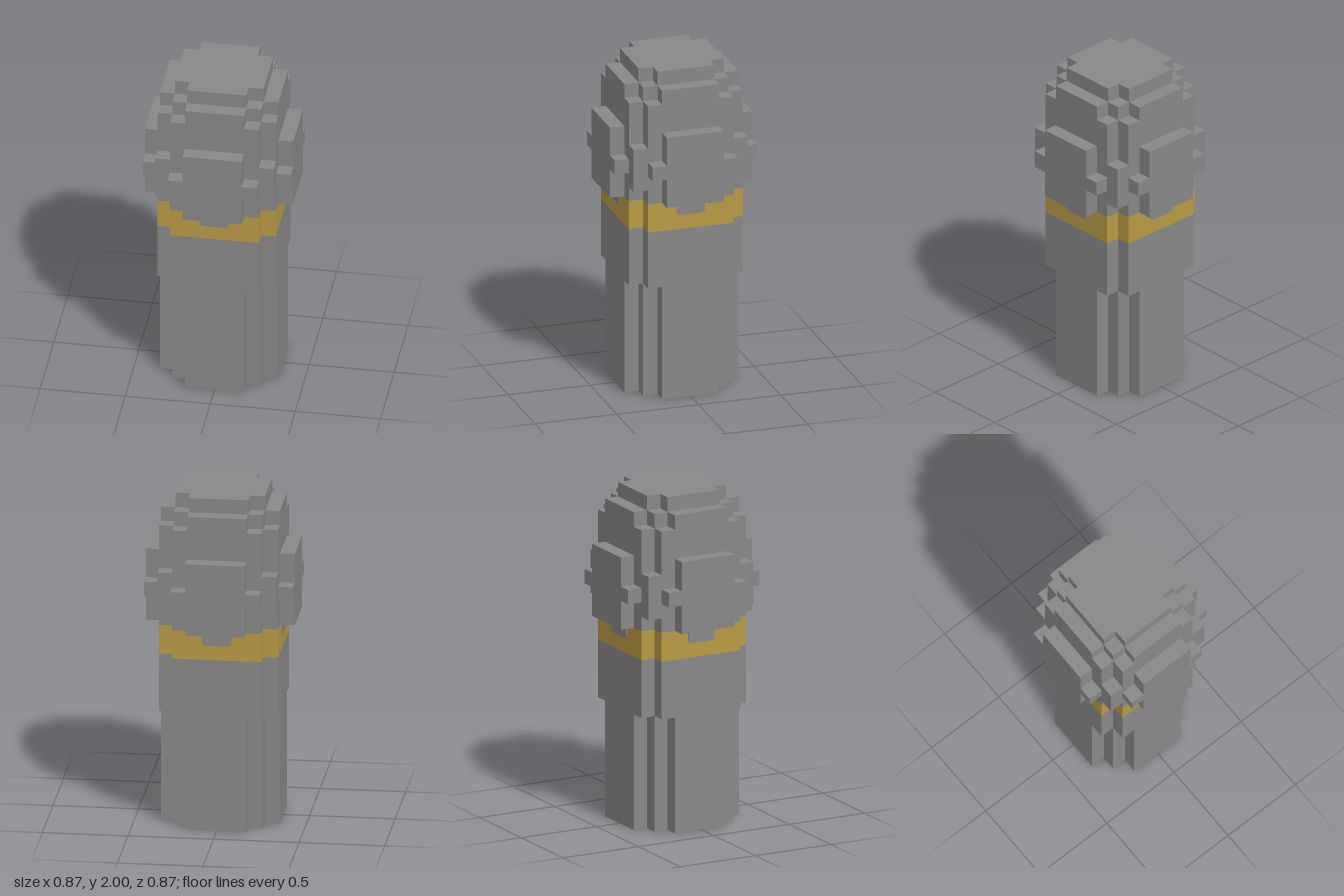
import * as THREE from 'three';

const U = 2 / 23; // one block

const stone = new THREE.MeshStandardMaterial({ color: 0x888888 });
stone.name = 'stone grey';
const gold = new THREE.MeshStandardMaterial({ color: 0xb99a44 });
gold.name = 'gold';

// Corner staircases of one quadrant, in blocks, from the +x side to the +y side
const NARROW = [[4, 2], [3, 2], [3, 3], [2, 3], [2, 4]];
const BODY = [[4, 3], [3, 3], [3, 4]];
const SQUARE = [[4, 4]];
const CAP = [[3, 2], [2, 2], [2, 3]];

// Turn a quadrant through four right angles to close the outline
function outline(corner) {
  const pts = [];
  for (let q = 0; q < 4; q++) {
    for (const [a, b] of corner) {
      let x = a, y = b;
      for (let i = 0; i < q; i++) [x, y] = [-y, x];
      pts.push(new THREE.Vector2(x * U, y * U));
    }
  }
  return pts;
}

// One storey of the tower between two block heights
function layer(name, corner, y0, y1, material, hollow) {
  const shape = new THREE.Shape(outline(corner));
  if (hollow) shape.holes.push(new THREE.Path(outline(CAP)));
  const geo = new THREE.ExtrudeGeometry(shape, { depth: (y1 - y0) * U, bevelEnabled: false });
  geo.rotateX(-Math.PI / 2);
  geo.translate(0, y0 * U, 0);
  const mesh = new THREE.Mesh(geo, material);
  mesh.name = name;
  return mesh;
}

// Raised panel with a small arm on each side
function panelGeometry() {
  const right = [[2, 14], [2, 16], [3, 16], [3, 17], [2, 17], [2, 19]];
  const left = right.map(([x, y]) => [-x, y]).reverse();
  const pts = [...right, ...left].map(([x, y]) => new THREE.Vector2(x * U, y * U));
  const geo = new THREE.ExtrudeGeometry(new THREE.Shape(pts), { depth: U, bevelEnabled: false });
  return geo.translate(0, 0, 4 * U);
}

// Thin tab hanging over the band, rounded at its lower corners
function tabGeometry() {
  const s = new THREE.Shape();
  const r = 0.025, top = 14 * U, low = 13 * U;
  s.moveTo(U, top);
  s.lineTo(-U, top);
  s.lineTo(-U, low + r);
  s.quadraticCurveTo(-U, low, -U + r, low);
  s.lineTo(U - r, low);
  s.quadraticCurveTo(U, low, U, low + r);
  const geo = new THREE.ExtrudeGeometry(s, { depth: 0.004, bevelEnabled: false, curveSegments: 5 });
  return geo.translate(0, 0, 4 * U);
}

export function createModel() {
  const model = new THREE.Group();
  model.name = 'blockTower';

  // Shaft, band and head, from the ground up
  model.add(
    layer('lowerShaft', NARROW, 0, 8, stone, true),
    layer('upperShaft', BODY, 8, 12, stone, true),
    layer('band', BODY, 12, 14, gold, true),
    layer('headBase', BODY, 14, 15, stone, true),
    layer('headMiddle', SQUARE, 15, 18, stone, true),
    layer('headTop', BODY, 18, 21, stone, true),
    layer('crown', NARROW, 21, 22, stone, false),
    layer('cap', CAP, 22, 23, stone, false)
  );

  // The same panel and tab on all four sides
  const panel = panelGeometry();
  const tab = tabGeometry();
  ['front', 'left', 'back', 'right'].forEach((side, i) => {
    const group = new THREE.Group();
    group.name = side + 'Side';
    const panelMesh = new THREE.Mesh(panel, stone);
    panelMesh.name = side + 'Panel';
    const tabMesh = new THREE.Mesh(tab, stone);
    tabMesh.name = side + 'BandTab';
    group.add(panelMesh, tabMesh);
    group.rotation.y = i * Math.PI / 2;
    model.add(group);
  });

  return model;
}
